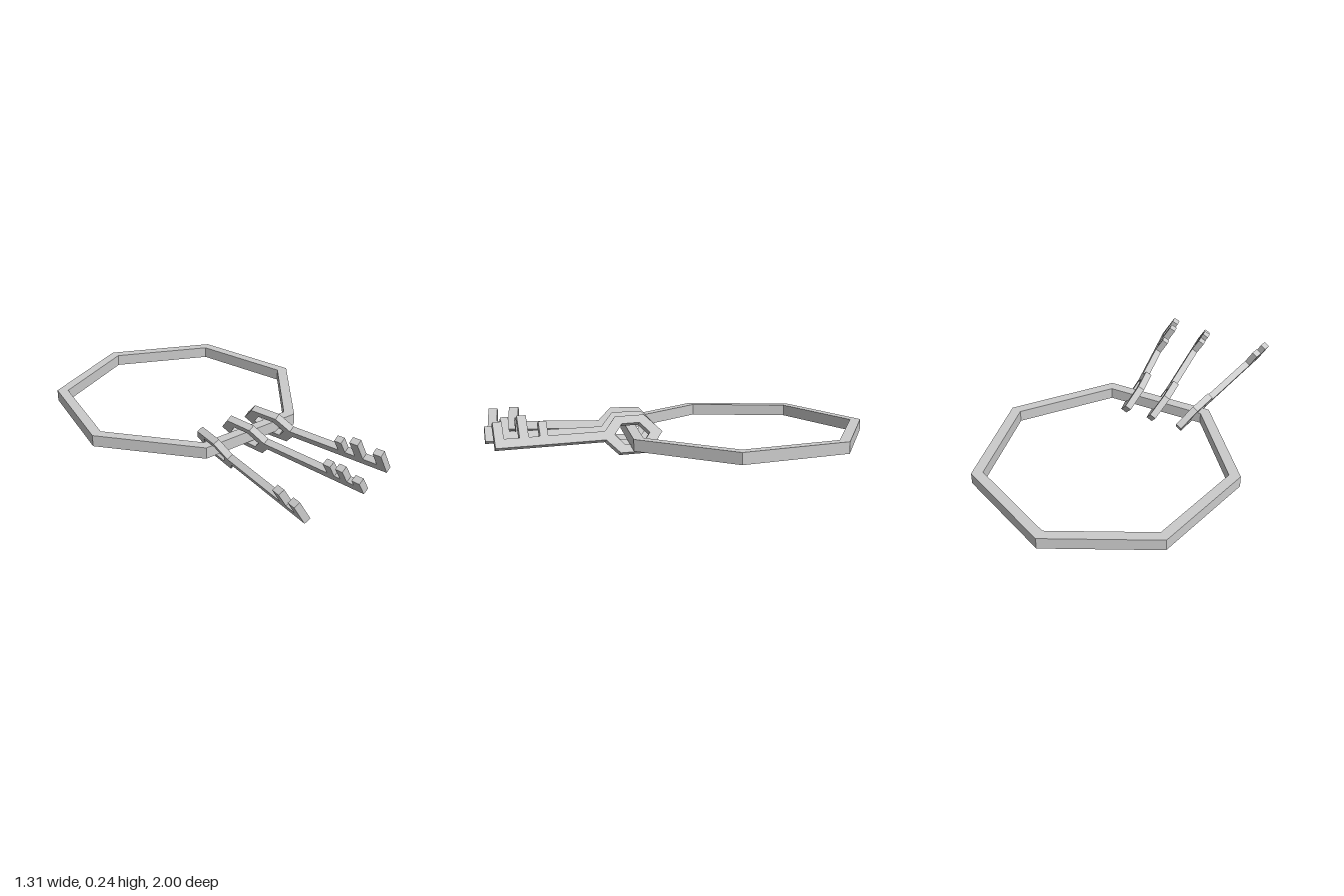
import * as THREE from 'three';

const material = new THREE.MeshStandardMaterial({ color: 0xcccccc, flatShading: true });

const BOW_LENGTH = 0.32, BOW_HALF_WIDTH = 0.097, SHAFT_HALF = 0.023, THICKNESS = 0.035;
const ROLL = THREE.MathUtils.degToRad(59);

// regular polygon, counterclockwise, with its first corner at the top
function polygon(sides, radius) {
  return Array.from({ length: sides }, (_, i) => {
    const a = (i / sides) * Math.PI * 2;
    return new THREE.Vector2(-Math.sin(a) * radius, Math.cos(a) * radius);
  });
}

function extrude(shape, depth) {
  return new THREE.ExtrudeGeometry(shape, { depth, bevelEnabled: false });
}

// seven-sided flat ring lying on its side
function makeRing() {
  const shape = new THREE.Shape(polygon(7, 0.672));
  shape.holes.push(new THREE.Path(polygon(7, 0.614).reverse()));
  const ring = new THREE.Mesh(extrude(shape, 0.06).rotateX(-Math.PI / 2), material);
  ring.name = 'ring';
  ring.position.set(0, 0.063, -0.328);
  return ring;
}

// teeth: [start, end, height above the shaft's centre line], measured along the key
function makeKey({ name, x, y, z, yaw, length, teeth }) {
  const mid = BOW_LENGTH / 2;
  const neck = BOW_LENGTH - mid * SHAFT_HALF / BOW_HALF_WIDTH / 2;

  // outline: bow, lower shaft edge, then the teeth back towards the bow
  const outline = [
    [0, 0], [0.083, -BOW_HALF_WIDTH], [0.237, -BOW_HALF_WIDTH],
    [neck, -SHAFT_HALF], [length, -SHAFT_HALF],
  ];
  for (const [start, end, height] of [...teeth].reverse()) {
    if (end < length) outline.push([end, SHAFT_HALF]);
    outline.push([end, height], [start, height], [start, SHAFT_HALF]);
  }
  outline.push([neck, SHAFT_HALF], [0.237, BOW_HALF_WIDTH], [0.083, BOW_HALF_WIDTH]);
  const shape = new THREE.Shape(outline.map(p => new THREE.Vector2(...p)));

  // six-sided hole in the bow; swapping the axes makes it run clockwise
  const hole = polygon(6, mid * 0.58).map(p =>
    new THREE.Vector2(mid + p.y, p.x * BOW_HALF_WIDTH / (mid * 0.866)));
  shape.holes.push(new THREE.Path(hole));

  // length runs forward, teeth lean up and to the side
  const along = new THREE.Vector3(0, 0, 1);
  const across = new THREE.Vector3(-Math.cos(ROLL), Math.sin(ROLL), 0);
  const basis = new THREE.Matrix4().makeBasis(along, across, along.clone().cross(across));
  const geometry = extrude(shape, THICKNESS).translate(-mid, 0, -THICKNESS / 2).applyMatrix4(basis);

  const key = new THREE.Mesh(geometry, material);
  key.name = name;
  key.position.set(x, y, z);
  key.rotation.y = THREE.MathUtils.degToRad(yaw);
  return key;
}

export function createModel() {
  const model = new THREE.Group();
  model.name = 'keyRing';
  model.add(makeRing());

  const keys = [
    { name: 'rightKey', x: -0.215, y: 0.092, z: 0.263, yaw: -7.3, length: 0.894,
      teeth: [[0.735, 0.785, 0.104], [0.847, 0.894, 0.096]] },
    { name: 'middleKey', x: -0.024, y: 0.104, z: 0.268, yaw: 6.2, length: 0.894,
      teeth: [[0.697, 0.739, 0.096], [0.772, 0.812, 0.102], [0.85, 0.894, 0.058]] },
    { name: 'leftKey', x: 0.137, y: 0.114, z: 0.268, yaw: 10.8, length: 0.85,
      teeth: [[0.588, 0.628, 0.1], [0.684, 0.729, 0.137], [0.805, 0.85, 0.112]] },
  ];
  for (const key of keys) model.add(makeKey(key));
  return model;
}
